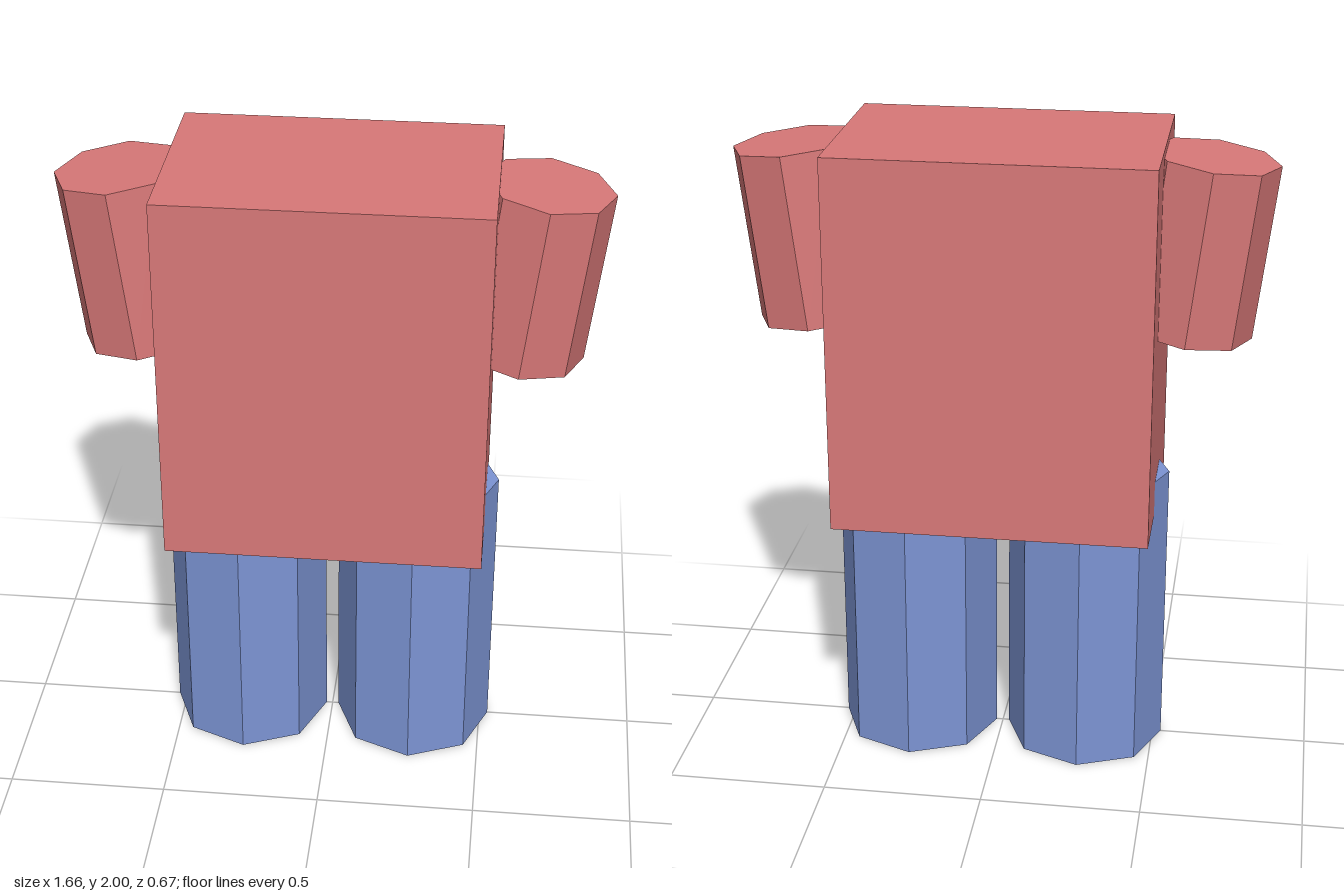
import * as THREE from 'three';

const red = new THREE.MeshStandardMaterial({ color: 0xd87878, flatShading: true });
const blue = new THREE.MeshStandardMaterial({ color: 0x7c94d4, flatShading: true });

export function createModel() {
  const model = new THREE.Group();
  model.name = 'figure';

  const add = (name, geometry, material, x, y) => {
    const mesh = new THREE.Mesh(geometry, material);
    mesh.name = name;
    mesh.position.set(x, y, 0);
    model.add(mesh);
    return mesh;
  };

  // Boxy torso
  add('torso', new THREE.BoxGeometry(0.98, 1.175, 0.665), red, 0, 1.4125);

  // Eight-sided legs and sleeves, mirrored left and right
  const legGeometry = new THREE.CylinderGeometry(0.254, 0.254, 0.94, 8);
  const sleeveGeometry = new THREE.CylinderGeometry(0.195, 0.195, 0.544, 8);
  for (const [side, s] of [['left', 1], ['right', -1]]) {
    add(side + 'Leg', legGeometry, blue, s * 0.274, 0.47);
    // Sleeves lean outward at the top
    add(side + 'Sleeve', sleeveGeometry, red, s * 0.604, 1.689).rotation.z = -s * 0.12;
  }

  return model;
}
